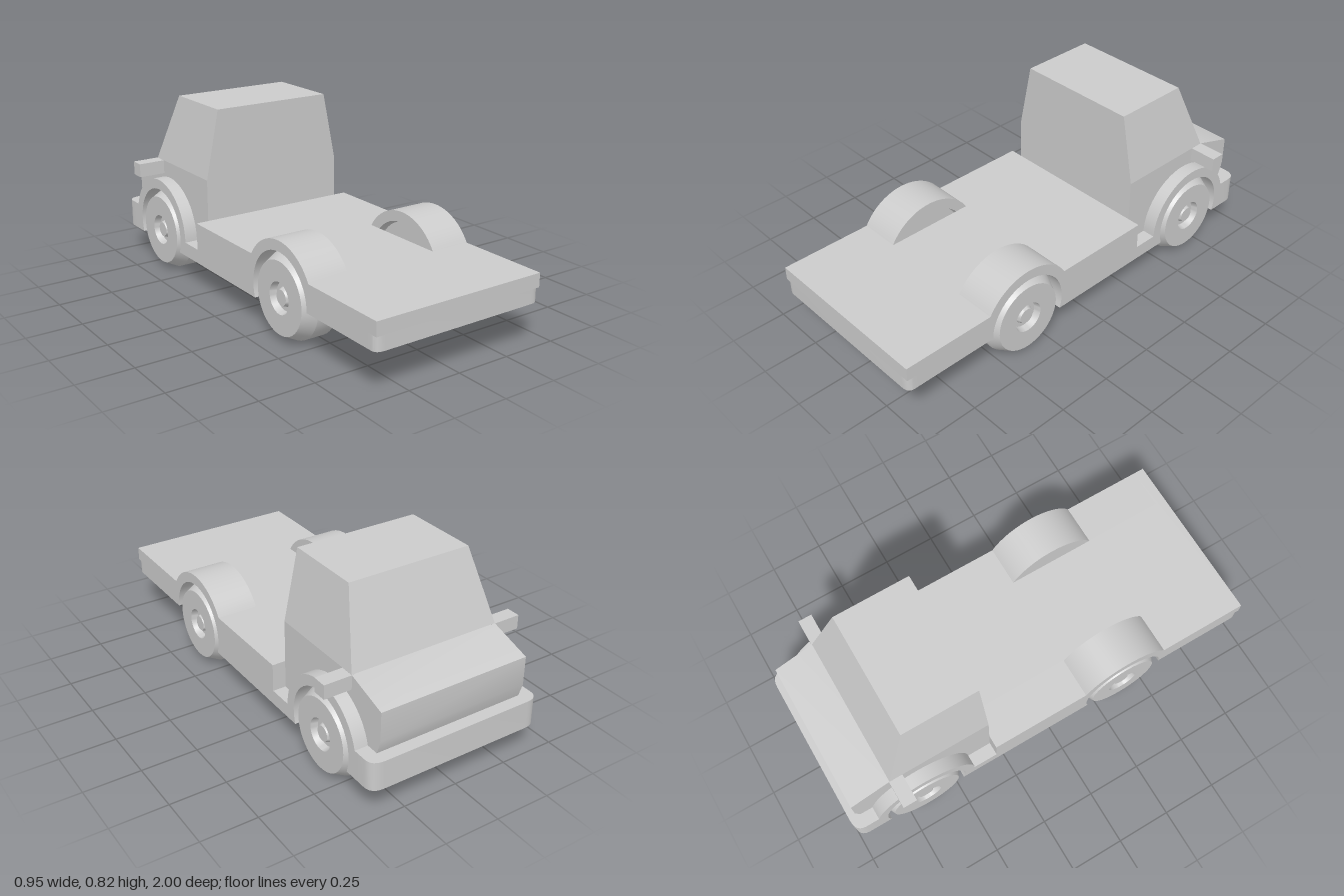
import * as THREE from 'three';
import { toCreasedNormals } from 'three/addons/utils/BufferGeometryUtils.js';

const material = new THREE.MeshStandardMaterial({ color: 0xcccccc });
const AXLE_Y = 0.195, REAR_Z = 0.37, FRONT_Z = -0.655;
const FENDER_R = 0.242, ARCH_R = 0.195;

function addMesh(parent, name, geometry) {
  const mesh = new THREE.Mesh(toCreasedNormals(geometry, 0.45), material);
  mesh.name = name;
  parent.add(mesh);
  return mesh;
}

// Points on an axle-centred arc between two heights, running over the top
function archOver(z, r, zDir, yStart, yEnd, steps = 28) {
  const a0 = Math.asin((yStart - AXLE_Y) / r);
  const a1 = Math.PI - Math.asin((yEnd - AXLE_Y) / r);
  return Array.from({ length: steps + 1 }, (_, i) => {
    const a = a0 + (a1 - a0) * i / steps;
    return [z + zDir * r * Math.cos(a), AXLE_Y + r * Math.sin(a)];
  });
}

// Extrude a side profile of [z, y] points from x0 to x1
function sideExtrude(points, x0, x1) {
  const shape = new THREE.Shape(points.map(([z, y]) => new THREE.Vector2(z, y)));
  const g = new THREE.ExtrudeGeometry(shape, { depth: x1 - x0, bevelEnabled: false });
  return g.rotateY(-Math.PI / 2).translate(x1, 0, 0);
}

// Full-width bar with two rounded corners at its outer end (z = dir)
function cornerBar(dir, inner, y0, y1, rx, rz) {
  const w = 0.41, s = new THREE.Shape();
  s.moveTo(-w, inner);
  s.lineTo(w, inner);
  s.lineTo(w, 1 - rz);
  s.quadraticCurveTo(w, 1, w - rx, 1);
  s.lineTo(-w + rx, 1);
  s.quadraticCurveTo(-w, 1, -w, 1 - rz);
  const g = new THREE.ExtrudeGeometry(s, { depth: y1 - y0, bevelEnabled: false, curveSegments: 6 });
  g.rotateX(-Math.PI / 2).translate(0, y0, 0);
  return dir > 0 ? g.rotateY(Math.PI) : g;
}

function wheelGeometry(inner, side) {
  const profile = [
    [0, inner], [0.19, inner], [0.19, 0.35], [0.16, 0.41], [0.07, 0.41],
    [0.062, 0.38], [0.042, 0.38], [0.034, 0.4], [0, 0.4],
  ].map(([r, h]) => new THREE.Vector2(r, h));
  return new THREE.LatheGeometry(profile, 48).rotateZ(-side * Math.PI / 2);
}

export function createModel() {
  const truck = new THREE.Group();
  truck.name = 'flatbedTruck';

  // Central chassis, shallower behind the rear axle
  addMesh(truck, 'chassis', sideExtrude([
    [0.95, 0.195], [0.95, 0.32], [-0.9, 0.32], [-0.9, 0.13], [REAR_Z, 0.13], [REAR_Z, 0.195],
  ], -0.22, 0.22));

  // Sides of the bed with fenders, wheel arches and cab step
  const sideProfile = [
    [0.95, 0.195], [0.95, 0.32],
    ...archOver(REAR_Z, FENDER_R, 1, 0.32, 0.32),
    [-0.3, 0.32], [-0.3, 0.195],
    ...archOver(FRONT_Z, FENDER_R, 1, 0.195, 0.258),
    [-0.9, 0.258], [-0.9, 0.13],
    ...archOver(FRONT_Z, ARCH_R, -1, 0.13, 0.13),
    ...archOver(REAR_Z, ARCH_R, -1, 0.13, 0.195),
  ];
  for (const side of [1, -1]) {
    const [a, b] = side > 0 ? [0.22, 0.41] : [-0.41, -0.22];
    addMesh(truck, side > 0 ? 'leftBedSide' : 'rightBedSide', sideExtrude(sideProfile, a, b));
  }

  // Tail of the bed: square lip over a rounded lower bar
  addMesh(truck, 'tailLip', new THREE.BoxGeometry(0.82, 0.062, 0.05)).position.set(0, 0.289, 0.975);
  addMesh(truck, 'tailBar', cornerBar(1, 0.95, 0.195, 0.258, 0.04, 0.028));
  addMesh(truck, 'bumper', cornerBar(-1, 0.9, 0.13, 0.258, 0.06, 0.05));

  // Lower cab and hood, cut out over the front wheels
  addMesh(truck, 'cabBody', sideExtrude([
    [-0.3, 0.195], [-0.3, 0.51], [-0.775, 0.51], [-0.965, 0.45], [-0.965, 0.32], [-0.945, 0.257],
    ...archOver(FRONT_Z, ARCH_R, -1, 0.257, 0.195),
  ], -0.35, 0.35));

  // Upper cab, tapered at the sides and windshield
  const cab = new THREE.BoxGeometry(0.7, 0.315, 0.475).translate(0, 0.6675, -0.5375);
  const p = cab.attributes.position;
  for (let i = 0; i < p.count; i++) {
    if (p.getY(i) < 0.6) continue;
    p.setX(i, Math.sign(p.getX(i)) * 0.286);
    if (p.getZ(i) < -0.5) p.setZ(i, -0.655);
  }
  addMesh(truck, 'cabTop', cab);

  // Mirrors and wheels
  for (const side of [1, -1]) {
    const label = side > 0 ? 'left' : 'right';
    addMesh(truck, label + 'Mirror', new THREE.BoxGeometry(0.145, 0.063, 0.063))
      .position.set(side * 0.4025, 0.478, -0.746);
    addMesh(truck, label + 'RearWheel', wheelGeometry(0.256, side)).position.set(0, AXLE_Y - 0.004, REAR_Z);
    addMesh(truck, label + 'FrontWheel', wheelGeometry(0.222, side)).position.set(0, AXLE_Y - 0.004, FRONT_Z);
  }
  truck.children.forEach((m) => { if (m.name.endsWith('Wheel')) m.position.y = 0.19; });
  return truck;
}
